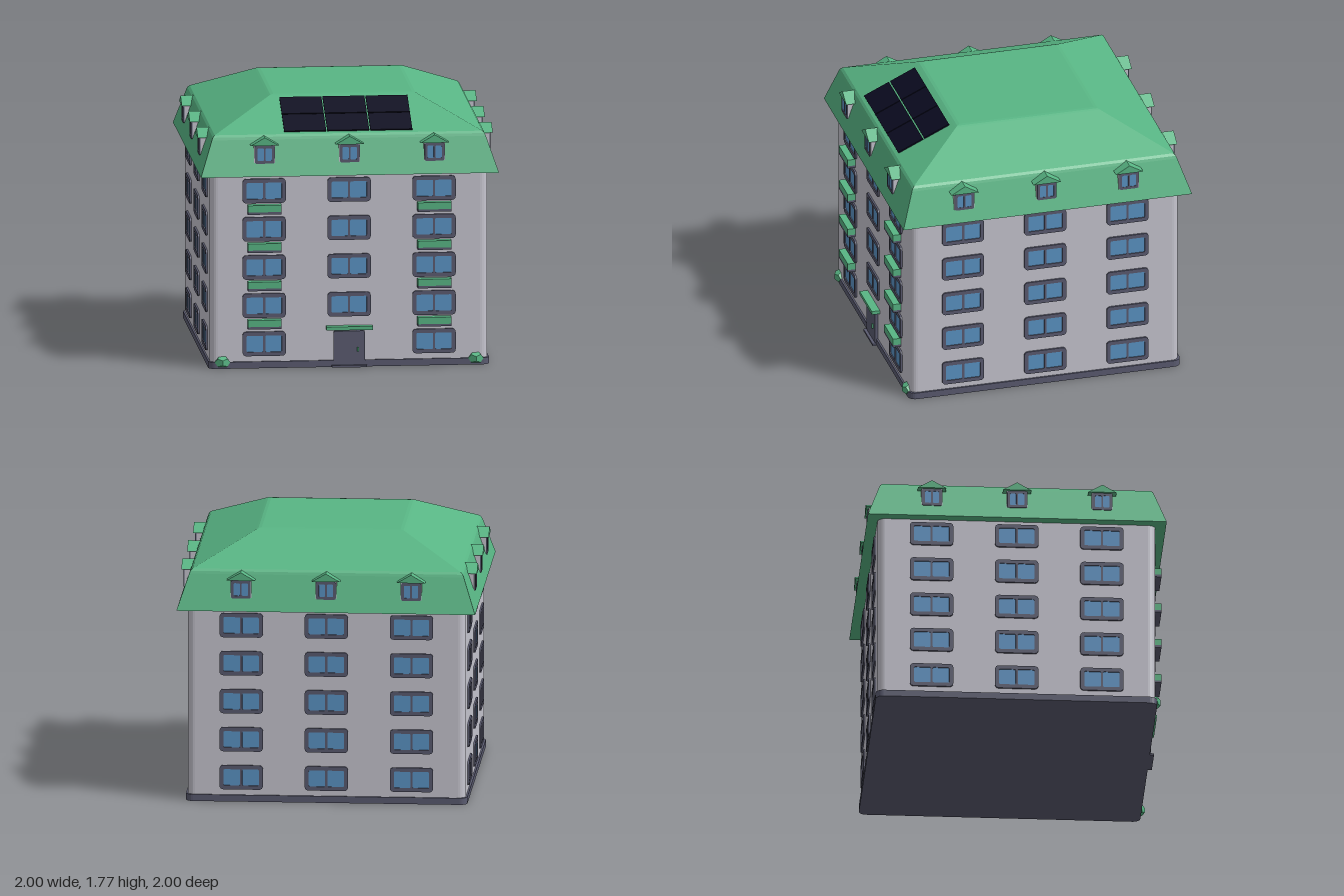
import * as THREE from 'three';

const mat = (name, color) => Object.assign(new THREE.MeshStandardMaterial({ color }), { name });

// Rectangle with rounded corners, centred on (cx, cy)
function roundRect(w, h, r, cx = 0, cy = 0, Type = THREE.Shape) {
  const s = new Type(), x = w / 2, y = h / 2;
  s.moveTo(cx - x + r, cy - y);
  s.lineTo(cx + x - r, cy - y);
  s.absarc(cx + x - r, cy - y + r, r, -Math.PI / 2, 0);
  s.absarc(cx + x - r, cy + y - r, r, 0, Math.PI / 2);
  s.absarc(cx - x + r, cy + y - r, r, Math.PI / 2, Math.PI);
  s.absarc(cx - x + r, cy - y + r, r, Math.PI, Math.PI * 1.5);
  return s;
}
const extrude = (shape, depth) =>
  new THREE.ExtrudeGeometry(shape, { depth, bevelEnabled: false, curveSegments: 3 });

export function createModel() {
  const green = mat('roof green', 0x58b584);
  const wall = mat('pale wall', 0xc7c6d0);
  const slate = mat('slate trim', 0x5a5b70);
  const glass = mat('blue glass', 0x5b94c5);
  const solar = mat('solar black', 0x0b0b20);

  const house = new THREE.Group();
  house.name = 'apartmentHouse';
  const WALL = 0.93;

  function add(parent, name, geometry, material, x = 0, y = 0, z = 0) {
    const m = new THREE.Mesh(geometry, material);
    m.name = name;
    m.position.set(x, y, z);
    parent.add(m);
    return m;
  }
  const box = (parent, name, material, w, h, d, x, y, z) =>
    add(parent, name, new THREE.BoxGeometry(w, h, d), material, x, y, z);

  // Plinth and walls with rounded corners
  const block = (half, r, h) => extrude(roundRect(half * 2, half * 2, r), h).rotateX(-Math.PI / 2);
  add(house, 'plinth', block(0.942, 0.05, 0.045), slate);
  add(house, 'walls', block(WALL, 0.05, 1.28), wall, 0, 0.04, 0);

  // Four-sided mansard roof with softened breaks
  const profile = [[0, 1.312], [1, 1.312], [0.919, 1.55], [0.912, 1.567], [0.898, 1.581],
    [0.5, 1.766], [0.486, 1.772], [0.465, 1.775], [0, 1.775]]
    .map(([r, y]) => new THREE.Vector2(r * Math.SQRT2, y));
  const roof = new THREE.LatheGeometry(profile, 4, Math.PI / 4).toNonIndexed();
  roof.computeVertexNormals();
  add(house, 'mansardRoof', roof, green);

  // Two-pane window: a frame with two openings over a glass plate
  function windowGeometry(w, h, r, border, mullion, depth) {
    const frame = roundRect(w, h, r);
    const pw = (w - 2 * border - mullion) / 2, ph = h - 2 * border;
    for (const s of [-1, 1]) {
      frame.holes.push(roundRect(pw, ph, 0.008, s * (pw + mullion) / 2, 0, THREE.Path));
    }
    return {
      frame: extrude(frame, depth),
      pane: new THREE.PlaneGeometry(w - border, h - border),
    };
  }
  const large = windowGeometry(0.29, 0.165, 0.025, 0.027, 0.014, 0.012);
  const small = windowGeometry(0.132, 0.122, 0.012, 0.018, 0.012, 0.008);
  function addWindow(parent, geo, x, y, z) {
    const g = new THREE.Group();
    g.name = 'window';
    g.position.set(x, y, z);
    add(g, 'windowFrame', geo.frame, slate);
    add(g, 'windowGlass', geo.pane, glass, 0, 0, 0.005);
    parent.add(g);
  }

  // Dormer: small body, window and gabled cap running back into the roof
  const gable = extrude(new THREE.Shape([
    new THREE.Vector2(-0.095, 0), new THREE.Vector2(0.095, 0), new THREE.Vector2(0, 0.055),
  ]), 0.1);
  function addDormer(parent, x) {
    const g = new THREE.Group();
    g.name = 'dormer';
    g.position.x = x;
    box(g, 'dormerBody', wall, 0.14, 0.125, 0.08, 0, 1.462, 0.93);
    addWindow(g, small, 0, 1.458, 0.97);
    add(g, 'dormerRoof', gable, green, 0, 1.521, 0.89);
    parent.add(g);
  }

  // Four facades
  const columns = [-0.57, 0, 0.57];
  for (let side = 0; side < 4; side++) {
    const facade = new THREE.Group();
    facade.name = ['frontFacade', 'leftFacade', 'backFacade', 'rightFacade'][side];
    facade.rotation.y = side * Math.PI / 2;
    for (const x of columns) {
      for (let floor = 0; floor < 5; floor++) {
        if (side === 0 && x === 0 && floor === 0) continue;
        addWindow(facade, large, x, 0.165 + floor * 0.26, WALL);
      }
      addDormer(facade, x);
    }
    house.add(facade);
  }

  // Window boxes on the front
  for (const x of [-0.57, 0.57]) {
    for (let i = 0; i < 4; i++) {
      const y = 0.272 + i * 0.26;
      box(house, 'windowBoxTray', slate, 0.225, 0.016, 0.055, x, y + 0.008, 0.957);
      box(house, 'windowBoxPlants', green, 0.225, 0.046, 0.055, x, y + 0.039, 0.957);
    }
  }

  // Entrance
  add(house, 'door', extrude(roundRect(0.21, 0.235, 0.012), 0.02), slate, 0, 0.127, WALL);
  box(house, 'doorHandle', green, 0.01, 0.03, 0.012, 0.058, 0.12, 0.955);
  box(house, 'doorStep', slate, 0.235, 0.014, 0.04, 0, 0.007, 0.95);
  box(house, 'doorCanopy', green, 0.31, 0.024, 0.06, 0, 0.268, 0.956);

  // Shrubs at the front corners
  for (const x of [-0.85, 0.85]) {
    const shrub = add(house, 'shrub', new THREE.DodecahedronGeometry(0.056), green, x, 0.043, 0.922);
    shrub.scale.set(1, 0.8, 0.9);
  }

  // Solar panels lying on the front slope
  const array = new THREE.Group();
  array.name = 'solarArray';
  array.position.set(0, 1.677, 0.702);
  array.rotation.x = Math.atan2(0.185, 0.398);
  for (const x of [-0.289, 0, 0.289]) {
    for (const z of [-0.0995, 0.0995]) box(array, 'solarPanel', solar, 0.281, 0.009, 0.19, x, 0, z);
  }
  house.add(array);

  return house;
}
